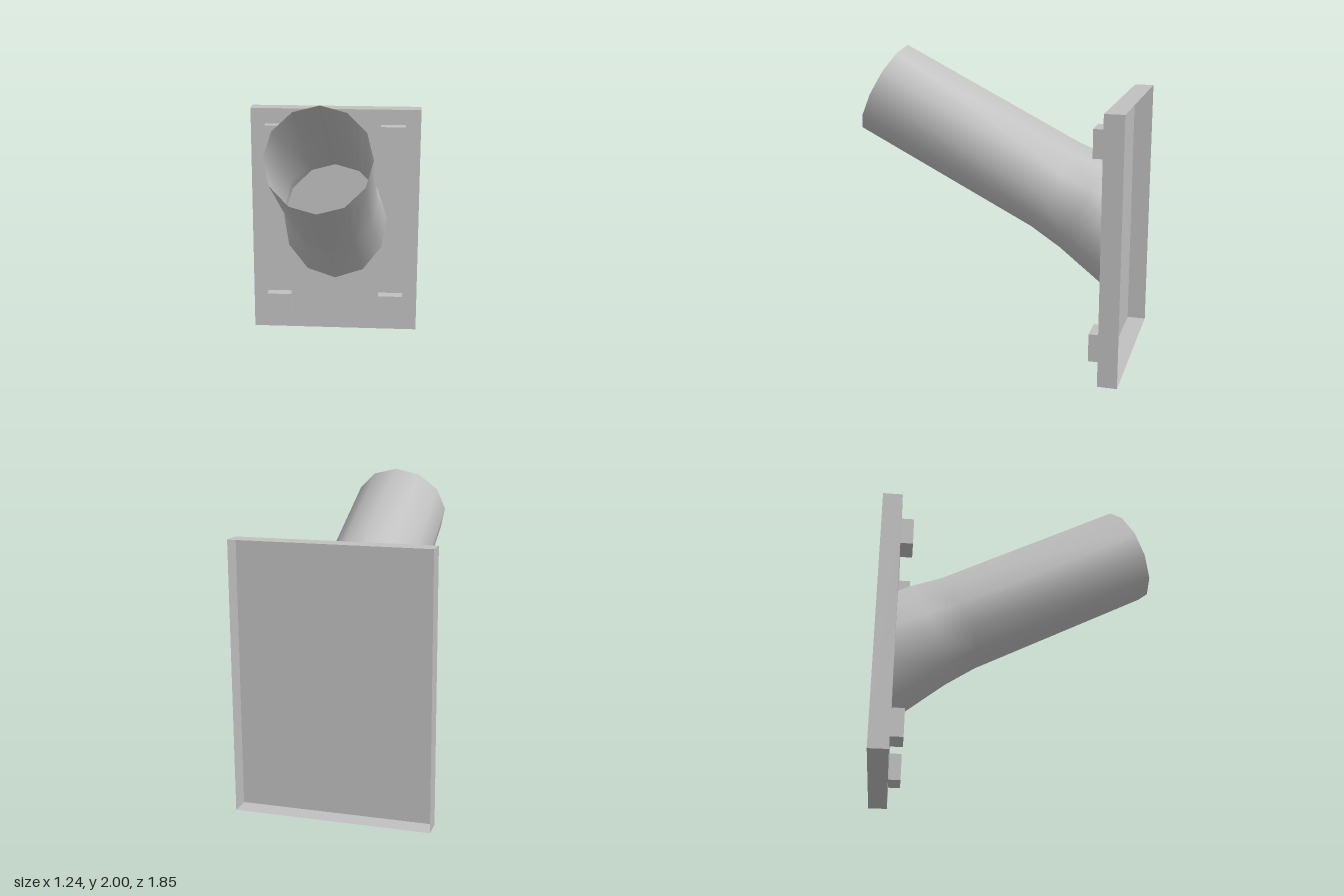
import * as THREE from 'three';

const SIDES = 12;

// Circular section of the tilted pipe, square to its axis
function roundRing(y, z, r) {
  const tilt = 0.47;
  return (a) => [
    r * Math.sin(a),
    y + r * Math.cos(a) * Math.cos(tilt),
    z - r * Math.cos(a) * Math.sin(tilt),
  ];
}

// Flared egg-shaped section where the pipe meets the plate
function baseRing(a) {
  const s = Math.sin(a), c = Math.cos(a);
  return [0.383 * s * (1 - 0.1 * c), 0.8525 + 0.4425 * c + 0.045 * s * s, -0.795];
}

// Open smooth skin through a list of ring functions
function loft(rings) {
  const pos = [], idx = [];
  for (const ring of rings)
    for (let i = 0; i < SIDES; i++) pos.push(...ring((i / SIDES) * Math.PI * 2));
  for (let r = 0; r < rings.length - 1; r++)
    for (let i = 0; i < SIDES; i++) {
      const a = r * SIDES + i, b = r * SIDES + ((i + 1) % SIDES);
      idx.push(a, a + SIDES, b, b, a + SIDES, b + SIDES);
    }
  const geo = new THREE.BufferGeometry();
  geo.setAttribute('position', new THREE.Float32BufferAttribute(pos, 3));
  geo.setIndex(idx);
  geo.computeVertexNormals();
  return geo;
}

// Box without its back face
function openBackBox(w, h, d) {
  const geo = new THREE.BoxGeometry(w, h, d);
  geo.setIndex(Array.from(geo.index.array).slice(0, 30));
  geo.clearGroups();
  return geo;
}

export function createModel() {
  const group = new THREE.Group();
  const grey = new THREE.MeshStandardMaterial({ color: 0xc0c0c0, side: THREE.DoubleSide });
  grey.name = 'light grey';

  const add = (name, geo, x = 0, y = 0, z = 0) => {
    const mesh = new THREE.Mesh(geo, grey);
    mesh.name = name;
    mesh.position.set(x, y, z);
    group.add(mesh);
  };

  // Mounting plate, hollow from behind
  add('mountingPlate', openBackBox(1.24, 1.705, 0.125), 0, 0.8525, -0.8575);

  // Slanted open pipe with a flared foot
  add('pipe', loft([
    baseRing,
    roundRing(1.01, -0.59, 0.35),
    roundRing(1.115, -0.385, 0.325),
    roundRing(1.71, 0.78, 0.323),
  ]));

  // Four bolt blocks at the plate corners
  for (const x of [-0.42, 0.42])
    for (const y of [0.205, 1.503])
      add('boltBlock', openBackBox(0.18, 0.18, 0.08), x, y, -0.755);

  return group;
}
